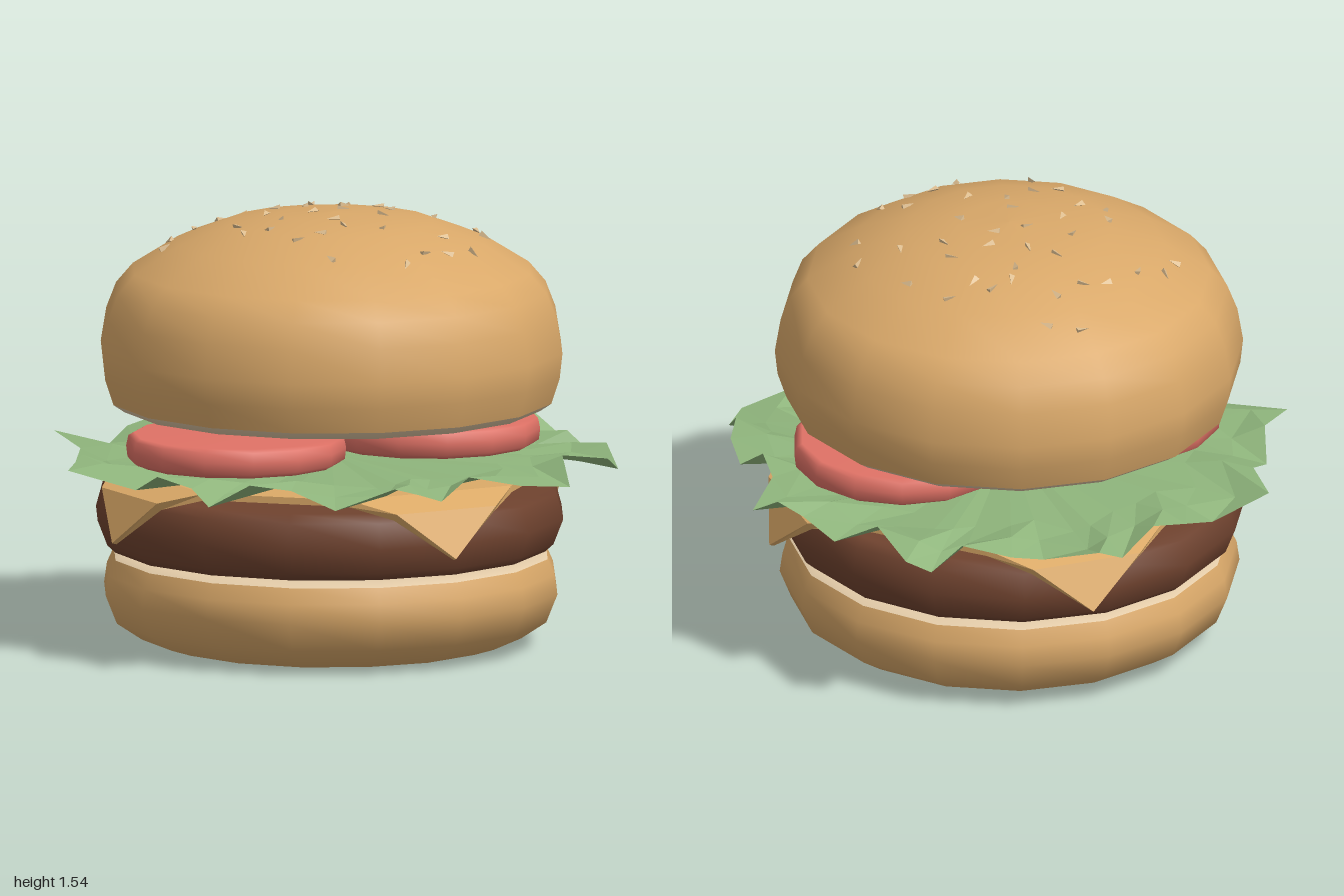
import * as THREE from 'three';

const mat = (name, color, side = THREE.FrontSide) => {
  const m = new THREE.MeshStandardMaterial({ color, side });
  m.name = name;
  return m;
};

// Round layer from a profile of [radius, height] pairs, listed from low to high
const layer = (name, profile, material, x, z, sides = 16) => {
  const pts = profile.map(([r, y]) => new THREE.Vector2(r, y));
  const mesh = new THREE.Mesh(new THREE.LatheGeometry(pts, sides), material);
  mesh.name = name;
  mesh.position.set(x, 0, z);
  return mesh;
};

// Faceted geometry from points and triangles
const faceted = (points, faces) => {
  const g = new THREE.BufferGeometry();
  g.setAttribute('position', new THREE.Float32BufferAttribute(points.flat(), 3));
  g.setIndex(faces.flat());
  const flat = g.toNonIndexed();
  flat.computeVertexNormals();
  return flat;
};

const DOME = [[0.785, 0.87], [0.815, 0.96], [0.825, 1.05], [0.805, 1.17], [0.77, 1.26], [0.71, 1.33],
  [0.55, 1.43], [0.36, 1.5], [0.18, 1.525], [0, 1.533]];

// Height of the top bun at a distance from its axis
const domeHeight = (r) => {
  for (let i = DOME.length - 1; i > 3; i--) {
    const [r0, y0] = DOME[i], [r1, y1] = DOME[i - 1];
    if (r <= r1) return y0 + (y1 - y0) * (r - r0) / (r1 - r0);
  }
  return 1.2;
};

// Square slice whose four corners fold down over the patty
const cheeseGeometry = () => {
  const points = [], faces = [], n = 20, thick = 0.024;
  const corner = [[0.7, -0.33, 0.63], [0.82, -0.2, 0.585], [0.89, 0, 0.42], [0.82, 0.2, 0.585], [0.7, 0.33, 0.63]];
  for (const low of [0, 1]) {
    points.push([0, 0.63 - low * thick, 0]);
    for (let k = 0; k < 4; k++) {
      const a = k * Math.PI / 2 + 0.1, c = Math.cos(a), s = Math.sin(a);
      corner.forEach(([d, w, y], j) => {
        const inset = low && j > 0 && j < 4 ? 0.018 : 0;
        points.push([(d - inset) * c - w * s, y - low * (j === 2 ? 0.005 : thick), (d - inset) * s + w * c]);
      });
    }
  }
  const both = (a, b, c) => faces.push([a, c, b], [a + n + 1, b + n + 1, c + n + 1]);
  for (let k = 0; k < 4; k++) {
    const p = 1 + k * 5;
    both(0, p, p + 4);
    both(0, p + 4, 1 + ((k + 1) % 4) * 5);
    both(p, p + 1, p + 3);
    both(p, p + 3, p + 4);
    both(p + 1, p + 2, p + 3);
  }
  for (let i = 0; i < n; i++) {
    const a = 1 + i, b = 1 + (i + 1) % n;
    faces.push([a, b, b + n + 1], [a, b + n + 1, a + n + 1]);
  }
  return faceted(points, faces);
};

// Ruffled leaf: rings shrink from the ragged rim to the middle
const lettuceGeometry = () => {
  const rim = [[0.03, -0.98], [0.12, -0.98], [0.25, -0.8], [0.38, -0.81], [0.53, -0.72], [0.65, -0.72], [0.73, -0.68],
    [0.73, -0.45], [0.85, -0.35], [0.9, -0.2], [0.96, -0.12], [1, 0], [0.86, 0.13], [0.84, 0.25], [0.88, 0.35],
    [0.86, 0.47], [0.8, 0.55], [0.78, 0.65], [0.72, 0.67], [0.52, 0.68], [0.42, 0.87], [0.13, 0.98], [-0.02, 0.88],
    [-0.13, 0.87], [-0.28, 0.96], [-0.38, 0.94], [-0.55, 0.82], [-0.6, 0.62], [-0.75, 0.58], [-0.87, 0.5],
    [-0.86, 0.38], [-0.91, 0.24], [-0.87, 0.05], [-1, -0.18], [-0.85, -0.31], [-0.79, -0.45], [-0.69, -0.55],
    [-0.63, -0.8], [-0.42, -0.78], [-0.28, -0.85], [-0.15, -0.86]];
  const n = rim.length, points = [], faces = [];
  const rings = [[1, 0.045], [0.87, 0.025], [0.72, 0.006]];
  rings.forEach(([f, wave], r) => rim.forEach(([x, z], i) => {
    const y = 0.667 + wave * Math.sin(i * 2.1 + r * 1.3);
    points.push([x * f, y, z * f]);
  }));
  points.push([0, 0.667, 0]);
  for (let i = 0; i < n; i++) {
    const j = (i + 1) % n;
    for (let r = 0; r < 2; r++) {
      const a = r * n + i, b = r * n + j;
      faces.push([a, a + n, b], [b, a + n, b + n]);
    }
    faces.push([3 * n, 2 * n + j, 2 * n + i]);
  }
  return faceted(points, faces);
};

export function createModel() {
  const bun = mat('toasted bun', 0xd9a869);
  const crumb = mat('bun crumb', 0xe3cba8);
  const meat = mat('patty brown', 0x70432f);
  const cheeseMat = mat('cheese', 0xdcaa68, THREE.DoubleSide);
  const green = mat('lettuce green', 0x8fb57c, THREE.DoubleSide);
  const red = mat('tomato red', 0xe07266);
  const purple = mat('onion purple', 0xa793cf);
  const seedMat = mat('sesame', 0xdcbd90);
  const model = new THREE.Group();
  model.name = 'burger';

  // Bottom bun and patty
  model.add(
    layer('bottomBun', [[0, 0], [0.6, 0.005], [0.68, 0.03], [0.77, 0.09], [0.81, 0.19], [0.8, 0.26], [0.775, 0.315]], bun, -0.01, 0.015),
    layer('bottomBunCutFace', [[0.775, 0.315], [0.73, 0.337], [0, 0.337]], crumb, -0.01, 0.015),
    layer('patty', [[0, 0.343], [0.77, 0.343], [0.8, 0.37], [0.835, 0.46], [0.81, 0.55], [0.775, 0.58], [0, 0.583]], meat, -0.015, 0.015),
  );

  // Cheese and lettuce
  const cheese = new THREE.Mesh(cheeseGeometry(), cheeseMat);
  cheese.name = 'cheeseSlice';
  cheese.position.set(0, 0, 0.015);
  const lettuce = new THREE.Mesh(lettuceGeometry(), green);
  lettuce.name = 'lettuceLeaf';
  model.add(cheese, lettuce);

  // Two tomato slices side by side and one onion slice
  const slice = [[0, 0.675], [0.36, 0.675], [0.383, 0.69], [0.388, 0.73], [0.38, 0.767], [0.36, 0.778], [0, 0.78]];
  model.add(
    layer('leftTomatoSlice', slice, red, 0.395, 0.045, 14),
    layer('rightTomatoSlice', slice, red, -0.405, 0, 14),
    layer('onionSlice', [[0, 0.782], [0.27, 0.782], [0.315, 0.8], [0.315, 0.823], [0.28, 0.838], [0, 0.838]], purple, 0.04, -0.005, 10),
  );

  // Top bun
  model.add(
    layer('topBunCutFace', [[0, 0.843], [0.745, 0.843], [0.785, 0.87]], crumb, -0.01, 0.02),
    layer('topBun', DOME, bun, -0.01, 0.02),
  );

  // Sesame seeds, tilted to follow the dome
  const spots = [[0, -0.6], [0.12, -0.55], [-0.43, -0.38], [-0.33, -0.37], [-0.17, -0.43], [-0.09, -0.42], [0.03, -0.44],
    [0.15, -0.33], [0.22, -0.33], [-0.5, -0.3], [-0.07, -0.25], [0.1, -0.26], [0.27, -0.27], [0.37, -0.29],
    [0.46, -0.12], [0.01, -0.18], [-0.19, -0.13], [0.13, -0.1], [0.27, -0.1], [-0.36, -0.05], [-0.2, -0.01],
    [-0.06, -0.03], [0.07, -0.02], [0.25, 0], [-0.4, 0.04], [-0.31, 0.08], [-0.08, 0.13], [0.13, 0.14],
    [0.39, 0.07], [0.52, 0.14], [-0.31, 0.25], [-0.22, 0.25], [-0.1, 0.23], [0.02, 0.3], [0.2, 0.4], [0.47, 0.28],
    [-0.3, 0.43], [-0.08, 0.58], [0.05, 0.52], [0.13, 0.53], [0.26, 0.51]];
  const seedGeo = new THREE.ConeGeometry(0.013, 0.045, 3).rotateZ(Math.PI / 2).toNonIndexed();
  seedGeo.computeVertexNormals();
  const seeds = new THREE.Group();
  seeds.name = 'sesameSeeds';
  const up = new THREE.Vector3(0, 1, 0);
  spots.forEach(([x, z], i) => {
    const dx = x + 0.01, dz = z - 0.02, r = Math.hypot(dx, dz);
    const slope = (domeHeight(r) - domeHeight(r + 0.05)) / 0.05;
    const normal = new THREE.Vector3(dx / (r || 1) * slope, 1, dz / (r || 1) * slope).normalize();
    const seed = new THREE.Mesh(seedGeo, seedMat);
    seed.name = 'seed';
    seed.position.set(x, domeHeight(r) + 0.002, z);
    seed.quaternion.setFromUnitVectors(up, normal);
    seed.rotateY(i * 2.4);
    seeds.add(seed);
  });
  model.add(seeds);
  return model;
}
